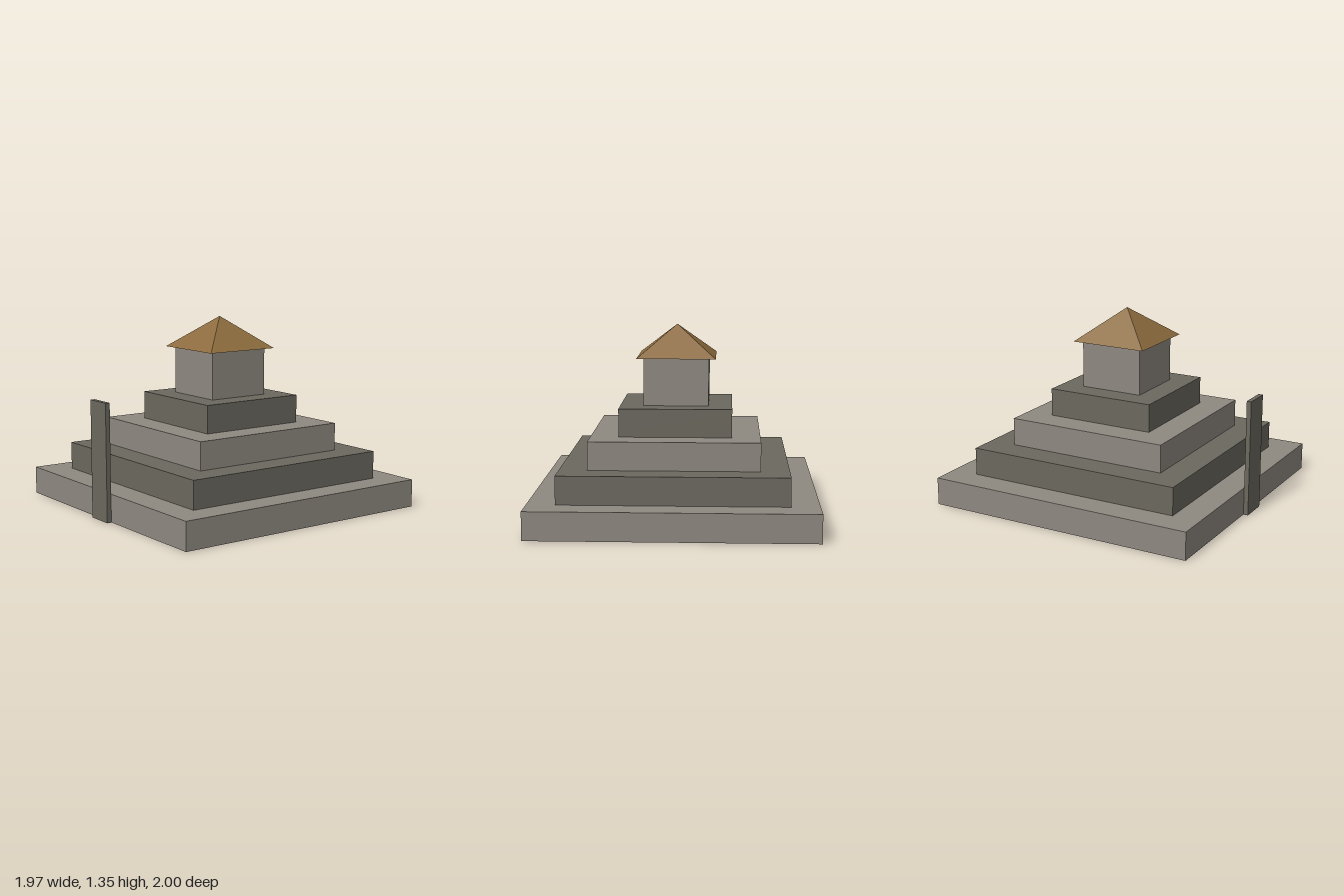
import * as THREE from 'three';

export function createModel() {
  const model = new THREE.Group();
  model.name = 'steppedTemple';

  const mat = (name, color) => {
    const m = new THREE.MeshStandardMaterial({ color });
    m.name = name;
    return m;
  };
  const lightStone = mat('lightStone', 0x8e8880);
  const darkStone = mat('darkStone', 0x6b685e);
  const roofBrown = mat('roofBrown', 0x8b6b3d);
  roofBrown.flatShading = true;

  const centerZ = -0.0175; // the stair slab takes up the space in front
  const tierHeight = 0.197;

  const add = (name, geometry, material, y, z = centerZ) => {
    const mesh = new THREE.Mesh(geometry, material);
    mesh.name = name;
    mesh.position.set(0, y, z);
    model.add(mesh);
    return mesh;
  };

  // Four square tiers, alternating light and dark stone
  [1.965, 1.572, 1.179, 0.786].forEach((width, i) => {
    add(`tier${i + 1}`, new THREE.BoxGeometry(width, tierHeight, width),
      i % 2 ? darkStone : lightStone, (i + 0.5) * tierHeight);
  });

  // Shrine on the top tier
  const shrineBase = 4 * tierHeight;
  const shrineHeight = 0.334;
  add('shrine', new THREE.BoxGeometry(0.456, shrineHeight, 0.456),
    lightStone, shrineBase + shrineHeight / 2);

  // Four-sided pyramid roof with overhanging eaves
  const roofHeight = 0.224;
  const roof = add('roof', new THREE.ConeGeometry(0.277 * Math.SQRT2, roofHeight, 4),
    roofBrown, shrineBase + shrineHeight + roofHeight / 2);
  roof.rotation.y = Math.PI / 4;

  // Upright stair slab standing against the front of the base
  add('stairSlab', new THREE.BoxGeometry(0.196, 0.824, 0.033), darkStone, 0.412, 0.9835);

  return model;
}
